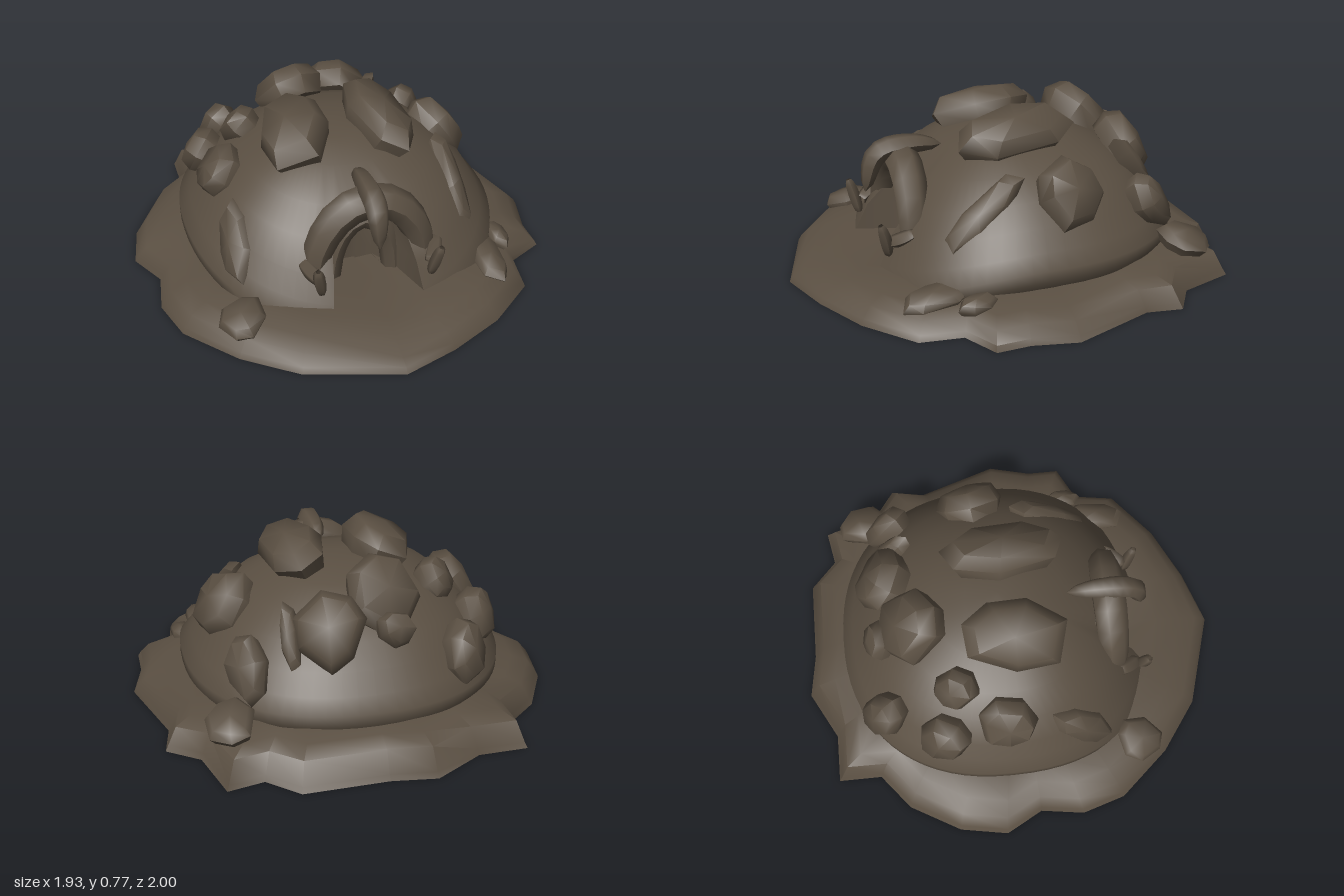
import * as THREE from 'three';
import { mergeVertices, toCreasedNormals } from 'three/addons/utils/BufferGeometryUtils.js';

const V = (x, y, z) => new THREE.Vector3(x, y, z);

// Stack of closed rings, listed from bottom to top
function loft(rings, crease) {
  const n = rings[0].length, pos = [], idx = [];
  for (const ring of rings) for (const p of ring) pos.push(p.x, p.y, p.z);
  for (let k = 0; k < rings.length - 1; k++) {
    for (let i = 0; i < n; i++) {
      const j = (i + 1) % n, a = k * n + i, b = k * n + j, c = b + n, d = a + n;
      idx.push(a, d, c, a, c, b);
    }
  }
  const geo = new THREE.BufferGeometry();
  geo.setAttribute('position', new THREE.Float32BufferAttribute(pos, 3));
  geo.setIndex(idx);
  return toCreasedNormals(mergeVertices(geo, 1e-4), crease);
}

// Tube along a curve that swells from the end radius to the middle radius
function limb(points, middle, end, sides = 7) {
  const curve = new THREE.CatmullRomCurve3(points), steps = 12;
  const geo = new THREE.TubeGeometry(curve, steps, 1, sides, false);
  const p = geo.attributes.position;
  for (let i = 0; i <= steps; i++) {
    const c = curve.getPointAt(i / steps);
    const r = THREE.MathUtils.lerp(end, middle, Math.sqrt(Math.sin((i / steps) * Math.PI) + 1e-6));
    for (let j = 0; j <= sides; j++) {
      const q = i * (sides + 1) + j;
      const v = V(0, 0, 0).fromBufferAttribute(p, q).sub(c).multiplyScalar(r).add(c);
      p.setXYZ(q, v.x, v.y, v.z);
    }
  }
  geo.computeVertexNormals();
  return geo;
}

// Half-ellipse path for an arch whose feet step forward
const archPath = (width, base, height, z, step) => Array.from({ length: 7 }, (_, i) => {
  const t = (i / 6) * Math.PI;
  return V(-width * Math.cos(t), base + height * Math.sin(t), z + step * (1 - Math.sin(t)));
});

// Worn, flat-topped boulder: half width a, half length b, half thickness h
function boulder(a, b, h, seed) {
  const sides = 7;
  const rand = (i) => { const s = Math.sin(seed * 12.99 + i * 78.23) * 43758.5; return s - Math.floor(s); };
  const ring = (s, y, tilt) => Array.from({ length: sides }, (_, i) => {
    const t = -Math.PI / 2 + ((i + 0.4 * rand(i)) / sides) * Math.PI * 2;
    const r = s * (0.92 + 0.2 * rand(i + 9));
    return V(Math.cos(t) * a * r, y * h + tilt * h * Math.sin(t), Math.sin(t) * b * r);
  });
  return loft([ring(0, -1, 0), ring(0.9, -0.9, 0), ring(1.08, 0, 0.05), ring(0.84, 0.75, 0.08), ring(0, 1, 0)], 1);
}

export function createModel() {
  const group = new THREE.Group();
  const earth = new THREE.MeshStandardMaterial({ color: 0x5a4f42, side: THREE.DoubleSide });
  earth.name = 'dark earth';
  const add = (name, geo) => {
    const mesh = new THREE.Mesh(geo, earth);
    mesh.name = name;
    group.add(mesh);
    return mesh;
  };

  // Ragged ground slab, dished at the front and raised at the back
  const rim = [[-0.2, -1], [0, -0.97], [0.37, -0.97], [0.5, -0.85], [0.66, -0.88], [0.73, -0.63], [0.87, -0.53],
    [0.84, -0.37], [0.96, 0], [0.91, 0.2], [0.91, 0.35], [0.75, 0.43], [0.72, 0.62], [0.5, 0.8], [0.25, 0.92], [0, 1],
    [-0.42, 0.87], [-0.65, 0.7], [-0.85, 0.47], [-0.91, 0.27], [-0.88, 0.07], [-0.97, -0.1], [-0.93, -0.32],
    [-0.8, -0.55], [-0.64, -0.68], [-0.64, -0.88], [-0.42, -0.88]];
  const slabProfile = [[0, 0], [1, 0], [0.985, 0.025], [0.94, 0.07], [0.86, 0.095], [0.74, 0.125], [0.4, 0.11], [0, 0.11]];
  add('ground slab', loft(slabProfile.map(([s, y]) => rim.map(([x, z]) => {
    const lift = z < 0 ? -0.05 * z : -0.03 * z * Math.max(0, 1 - 2 * Math.abs(x));
    return V(x * s, y > 0.03 ? y + lift : y, z * s);
  })), 0.9));

  // Mound with a hollow pressed into its front
  const round = (v) => Math.sign(v) * Math.abs(v) ** 0.88;
  const moundProfile = [[0, 0.1], [0.93, 0.1], [1, 0.17], [1, 0.22], [0.93, 0.28], [0.86, 0.37], [0.74, 0.46],
    [0.6, 0.54], [0.4, 0.61], [0.2, 0.64], [0, 0.65]];
  add('mound', loft(moundProfile.map(([s, h]) => Array.from({ length: 72 }, (_, i) => {
    const t = (i / 72) * Math.PI * 2;
    const x = 0.73 * s * round(Math.sin(t));
    let z = -0.05 - 0.75 * s * round(Math.cos(t));
    const y = Math.max(0.04, h - 0.4 * Math.max(0, z) ** 2);
    if (y < 0.45) z = Math.min(z, 0.28 + 0.4 * (Math.abs(x) / 0.2) ** 4);
    return V(x, y, z);
  })), 0.8));

  // Entrance: outer arch, inner arch and horn over the keystone
  add('outer arch', limb(archPath(0.26, 0.16, 0.37, 0.46, 0.03), 0.08, 0.04));
  add('inner arch', limb(archPath(0.15, 0.08, 0.31, 0.38, 0), 0.055, 0.05));
  add('keystone horn', limb([V(0, 0.57, 0.27), V(0, 0.59, 0.42), V(0, 0.56, 0.57), V(0, 0.39, 0.63)], 0.052, 0.004, 6));

  // Small tusks and pegs beside the arch legs
  for (const side of [-1, 1]) {
    add('front tusk', limb([V(side * 0.28, 0.34, 0.64), V(side * 0.27, 0.27, 0.62), V(side * 0.25, 0.18, 0.6)],
      0.028, 0.012, 5));
    add('cross peg', limb([V(side * 0.31, 0.29, 0.5), V(side * 0.28, 0.26, 0.55), V(side * 0.25, 0.24, 0.59)],
      0.035, 0.025, 5));
  }

  // Boulders: x, z, half width, half length; height and tilt follow the mound
  const boulders = [
    [-0.21, 0, 0.16, 0.24], [0.2, -0.01, 0.14, 0.26], [-0.1, -0.46, 0.15, 0.18], [0.54, -0.13, 0.15, 0.15],
    [-0.4, -0.28, 0.09, 0.1], [-0.58, -0.35, 0.11, 0.12], [-0.55, -0.05, 0.12, 0.13], [-0.55, 0.28, 0.08, 0.19],
    [0.47, 0.25, 0.07, 0.24], [0.58, 0.5, 0.08, 0.14], [-0.6, 0.57, 0.1, 0.11], [0.69, 0.35, 0.05, 0.08],
    [0.51, -0.54, 0.09, 0.14], [0.6, -0.68, 0.1, 0.12], [-0.43, -0.62, 0.09, 0.13], [0.16, -0.58, 0.14, 0.16],
    [0.32, -0.54, 0.04, 0.14], [-0.35, 0.36, 0.04, 0.08], [-0.12, -0.61, 0.08, 0.07],
  ];
  boulders.forEach(([x, z, a, b], i) => {
    const q = Math.hypot(x / 0.74, (z + 0.05) / 0.75);
    const onMound = q < 1;
    const back = Math.max(0, -z);
    const y = onMound ? 0.69 - 0.42 * q * q - Math.max(0, z) ** 2 + 0.1 * back : 0.11 + 0.13 * back;
    const lean = onMound ? 1.4 + q : 0.3;
    const up = V(x * lean, 0.8, (z + 0.05) * lean).normalize();
    const side = V(0, 0, 0).crossVectors(up, V(0, onMound ? -0.25 - 3 * z : 0, 1)).normalize();
    const along = V(0, 0, 0).crossVectors(side, up);
    const mesh = add('boulder', boulder(a, b, onMound ? 0.03 + 0.4 * a : 0.02 + 0.25 * a, i + 1));
    mesh.quaternion.setFromRotationMatrix(new THREE.Matrix4().makeBasis(side, up, along));
    mesh.position.set(x, y, z);
  });
  return group;
}
